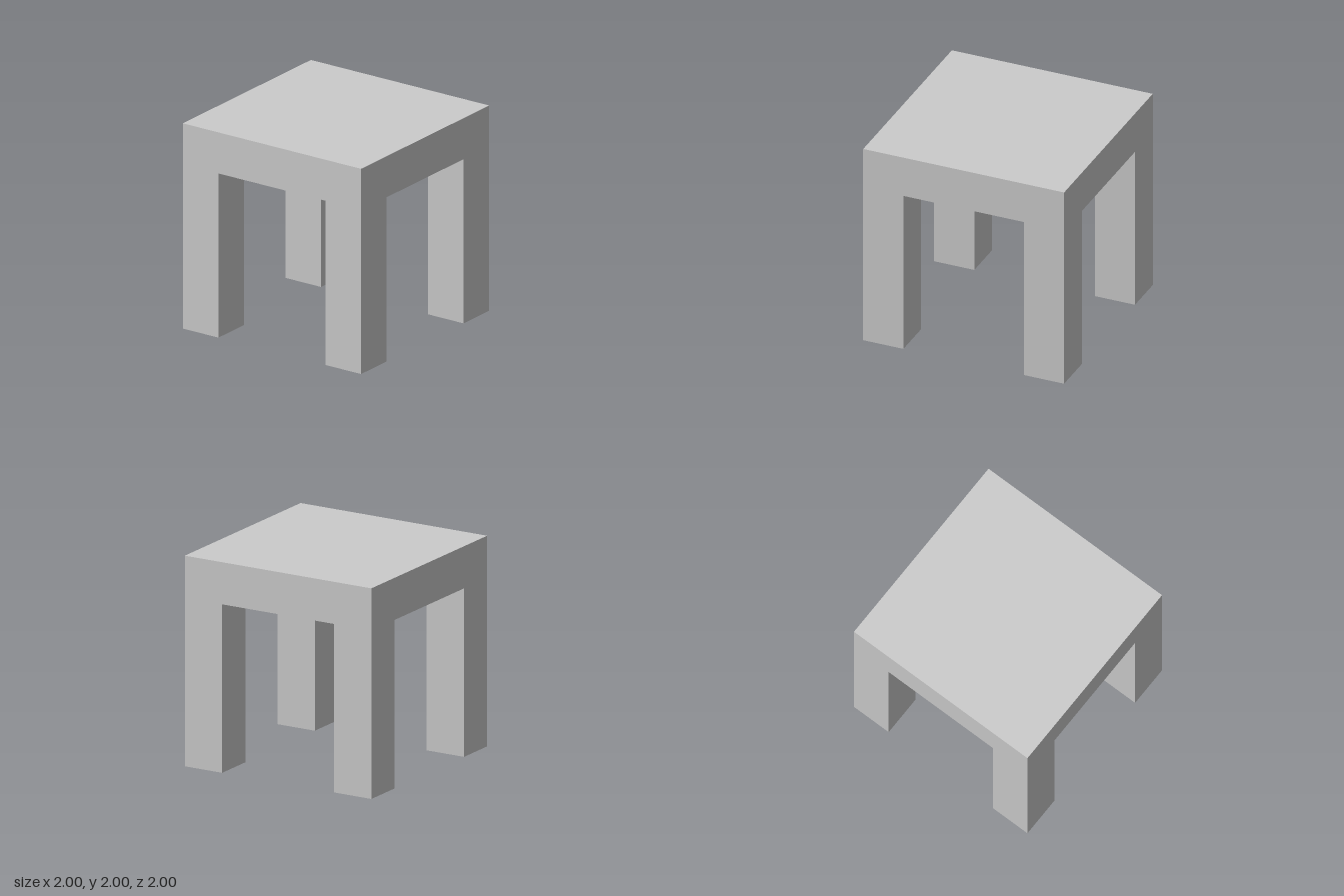
import * as THREE from 'three';

const SIZE = 2;        // overall width, depth and height
const THICKNESS = 0.4; // slab thickness and leg width

export function createModel() {
  const group = new THREE.Group();
  group.name = 'table';
  const material = new THREE.MeshStandardMaterial({ color: 0xcccccc });

  // Square slab on top
  const top = new THREE.Mesh(new THREE.BoxGeometry(SIZE, THICKNESS, SIZE), material);
  top.name = 'tableTop';
  top.position.y = SIZE - THICKNESS / 2;
  group.add(top);

  // Four square legs, flush with the corners of the slab
  const legHeight = SIZE - THICKNESS;
  const legGeometry = new THREE.BoxGeometry(THICKNESS, legHeight, THICKNESS);
  const offset = (SIZE - THICKNESS) / 2;
  for (const [zName, z] of [['front', 1], ['back', -1]]) {
    for (const [xName, x] of [['Left', 1], ['Right', -1]]) {
      const leg = new THREE.Mesh(legGeometry, material);
      leg.name = `${zName}${xName}Leg`;
      leg.position.set(x * offset, legHeight / 2, z * offset);
      group.add(leg);
    }
  }

  return group;
}
